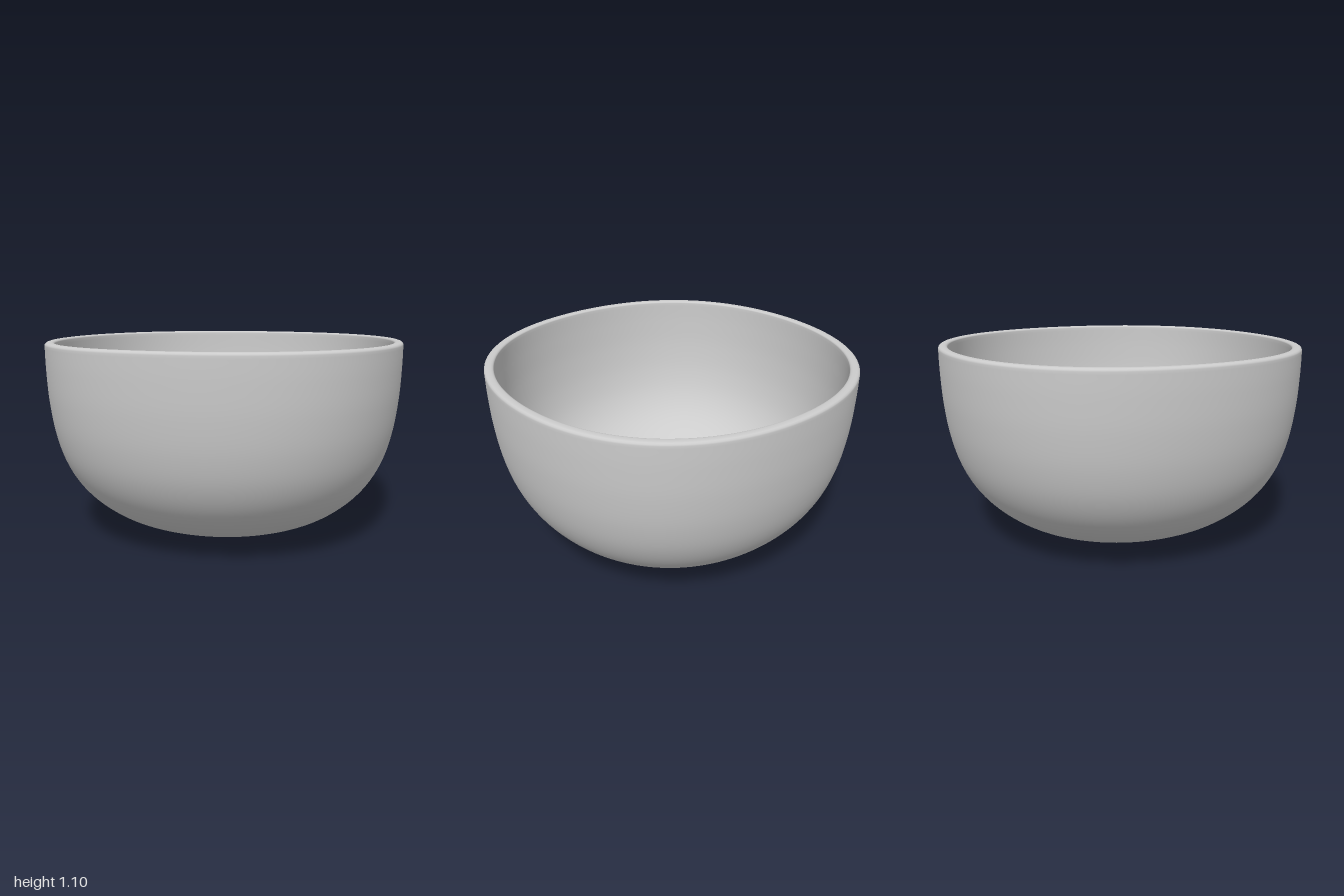
import * as THREE from 'three';
import { mergeVertices } from 'three/addons/utils/BufferGeometryUtils.js';

const WALL = 0.05;
const V = (x, y) => new THREE.Vector2(x, y);

export function createModel() {
  // Outer half profile, from the bottom centre up to the rim
  const curve = new THREE.SplineCurve([
    V(0, 0), V(0.2, 0.008), V(0.42, 0.045), V(0.6, 0.108), V(0.735, 0.195), V(0.84, 0.305),
    V(0.915, 0.44), V(0.962, 0.6), V(0.988, 0.78), V(0.998, 0.95), V(1, 1.08),
  ]);
  const outer = curve.getPoints(60);

  // Inner profile: the outer one moved inward by the wall thickness
  const inner = outer.map((p, i) => {
    const t = curve.getTangent(i / 60);
    return V(i === 0 ? 0 : Math.max(0, p.x - t.y * WALL), p.y + t.x * WALL);
  });
  inner[60].set(1 - WALL, 1.085);

  // Softly rounded rim joining the two
  const rim = [V(0.998, 1.087), V(0.992, 1.093), V(0.983, 1.096), V(0.966, 1.096), V(0.957, 1.094), V(0.952, 1.09)];
  const profile = [...outer, ...rim, ...inner.reverse()];

  let geometry = new THREE.LatheGeometry(profile, 128);

  // Swell the diagonals slightly so the plan is a very rounded square, fading to round at the pole
  const pos = geometry.attributes.position;
  for (let i = 0; i < pos.count; i++) {
    const x = pos.getX(i), z = pos.getZ(i);
    const r = Math.hypot(x, z);
    const s = Math.sin(2 * Math.atan2(z, x));
    const k = 1 + 0.029 * s * s * Math.min(1, r * r);
    pos.setX(i, x * k);
    pos.setZ(i, z * k);
  }

  // Weld the seam for continuous smooth normals
  geometry.deleteAttribute('uv');
  geometry.deleteAttribute('normal');
  geometry = mergeVertices(geometry, 1e-5);
  geometry.computeVertexNormals();

  const bowl = new THREE.Mesh(geometry, new THREE.MeshStandardMaterial({ color: 0xcccccc }));
  bowl.name = 'bowl';
  const group = new THREE.Group();
  group.name = 'roundedBowl';
  group.add(bowl);
  return group;
}
